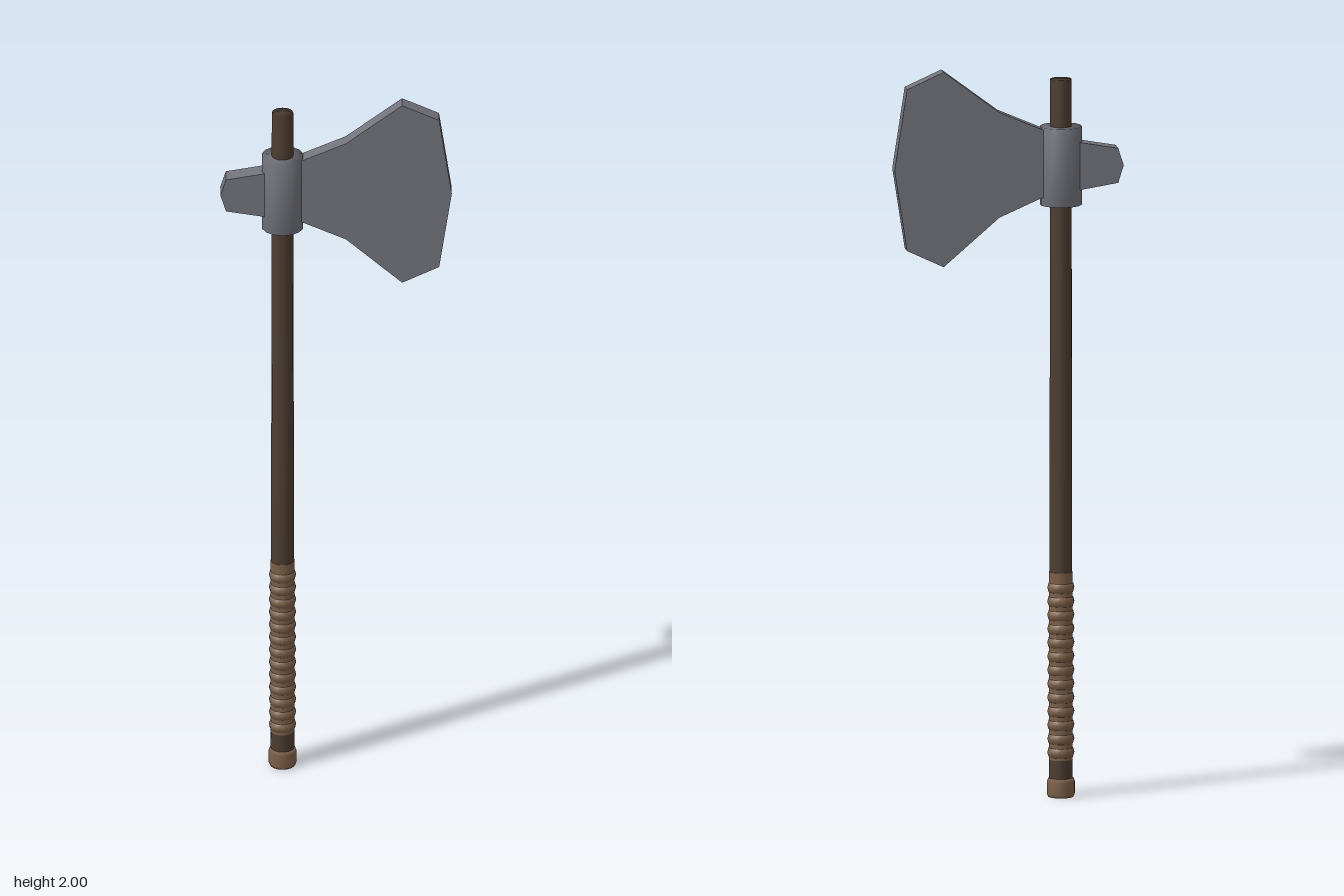
import * as THREE from 'three';
import { mergeVertices } from 'three/addons/utils/BufferGeometryUtils.js';

const SHAFT_X = -0.145;

// Shares vertices across the caps so the shading runs softly over the rims.
function soften(geometry) {
  geometry.deleteAttribute('uv');
  geometry.deleteAttribute('normal');
  const merged = mergeVertices(geometry, 1e-4);
  merged.computeVertexNormals();
  return merged;
}

// Flat plate cut from an outline, centred on z = 0.
function plate(points, thickness) {
  const shape = new THREE.Shape(points.map(([x, y]) => new THREE.Vector2(x, y)));
  const geometry = new THREE.ExtrudeGeometry(shape, { depth: thickness, bevelEnabled: false });
  return geometry.translate(0, 0, -thickness / 2);
}

export function createModel() {
  const wood = new THREE.MeshStandardMaterial({ name: 'dark wood', color: 0x4d3d31 });
  const leather = new THREE.MeshStandardMaterial({ name: 'leather', color: 0x7c5f48 });
  const steel = new THREE.MeshStandardMaterial({ name: 'steel', color: 0x73747c });

  const model = new THREE.Group();
  model.name = 'axe';
  const add = (name, geometry, material, x = 0, y = 0, parent = model) => {
    const mesh = new THREE.Mesh(geometry, material);
    mesh.name = name;
    mesh.position.set(x, y, 0);
    parent.add(mesh);
    return mesh;
  };

  // Shaft, slightly thicker toward the grip
  add('shaft', soften(new THREE.CylinderGeometry(0.029, 0.032, 1.95, 16)), wood, SHAFT_X, 0.995);

  // Pommel with rounded ends
  const pommelProfile = [[0, 0], [0.034, 0], [0.038, 0.008], [0.038, 0.042], [0.034, 0.052], [0, 0.052]]
    .map(([r, y]) => new THREE.Vector2(r, y));
  add('pommel', soften(new THREE.LatheGeometry(pommelProfile, 16)), leather, SHAFT_X, 0);

  // Grip: sleeve with wound leather rings
  const grip = new THREE.Group();
  grip.name = 'grip';
  model.add(grip);
  add('gripSleeve', new THREE.CylinderGeometry(0.0325, 0.0325, 0.515, 16), leather, SHAFT_X, 0.36, grip);
  const ring = new THREE.TorusGeometry(0.026, 0.011, 8, 16).rotateX(Math.PI / 2).scale(1, 1.5, 1);
  const ringCount = 13;
  for (let i = 0; i < ringCount; i++) {
    add('gripRing', ring, leather, SHAFT_X, 0.122 + i * 0.0377, grip);
  }

  // Collar holding the head
  add('collar', soften(new THREE.CylinderGeometry(0.057, 0.057, 0.215, 14)), steel, SHAFT_X, 1.733);

  // Flared blade
  add('blade', plate([
    [-0.13, 1.655], [-0.09, 1.648], [0.026, 1.597], [0.178, 1.465], [0.278, 1.512],
    [0.312, 1.733], [0.278, 1.955], [0.178, 2.0], [0.026, 1.886], [-0.09, 1.836], [-0.13, 1.82],
  ], 0.045), steel);

  // Blunt poll on the other side
  add('poll', plate([
    [-0.16, 1.662], [-0.16, 1.804], [-0.298, 1.78], [-0.313, 1.733], [-0.298, 1.685],
  ], 0.052).toNonIndexed ? plate([
    [-0.16, 1.662], [-0.298, 1.685], [-0.313, 1.733], [-0.298, 1.78], [-0.16, 1.804],
  ], 0.052) : null, steel);

  return model;
}
